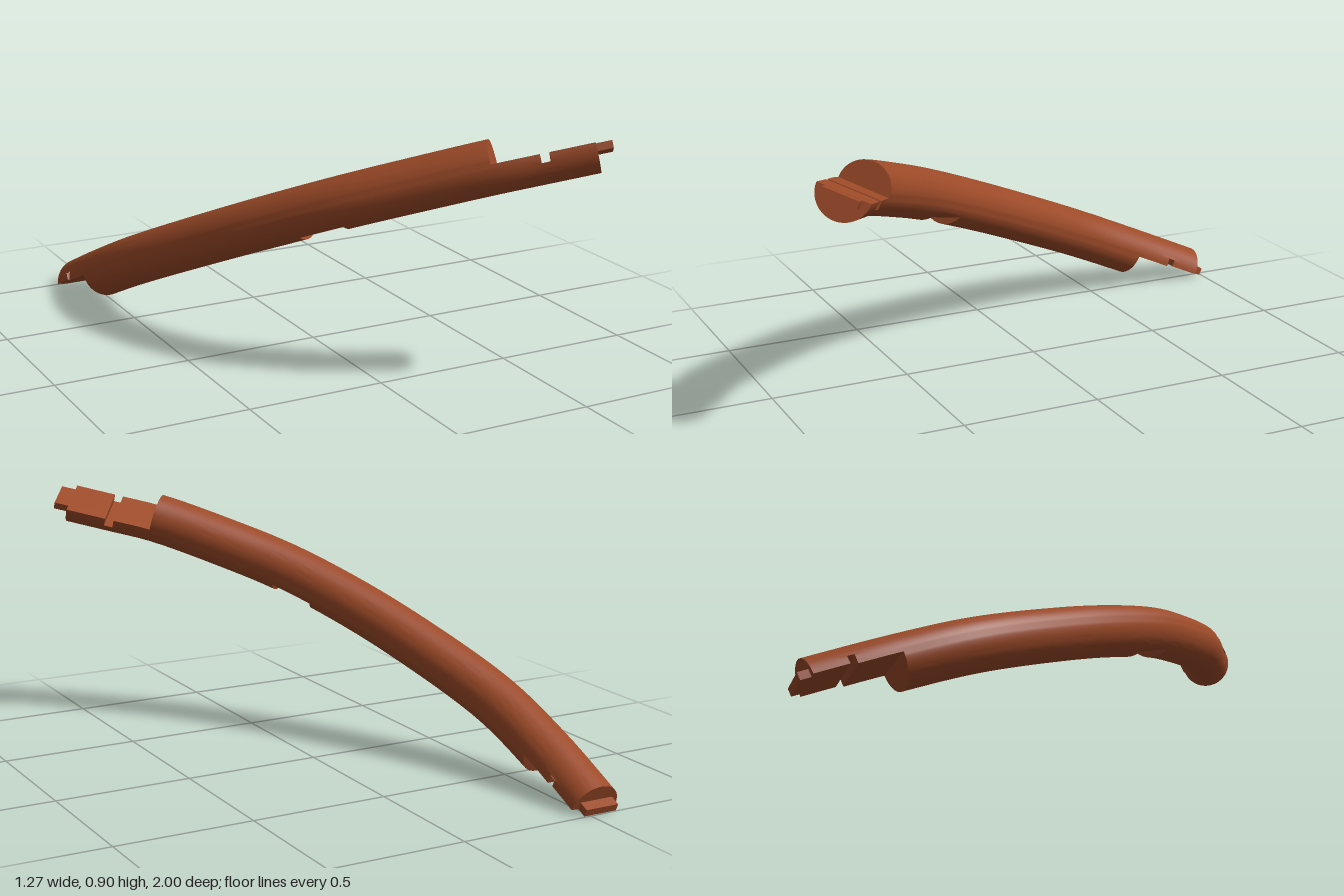
import * as THREE from 'three';
import { toCreasedNormals } from 'three/addons/utils/BufferGeometryUtils.js';

const R = 0.092;               // beam radius
const SIDES = 64;
const TILT = Math.atan(0.46);  // slope of the plane the beam curves in
const STRETCH = 1 / Math.cos(TILT);

// Centreline as plan positions [x, z], laid into the sloping plane
const PATH = [
  [-0.543, -1.02], [-0.543, -0.85], [-0.538, -0.69], [-0.502, -0.42], [-0.362, -0.06],
  [-0.235, 0.18], [-0.087, 0.395], [0.07, 0.56], [0.275, 0.745], [0.41, 0.828], [0.55, 0.912], [0.62, 0.954],
];
const curve = new THREE.CatmullRomCurve3(PATH.map(([x, z]) => new THREE.Vector3(x, 0, z * STRETCH)));

// Position, tangent and sideways direction where the centreline passes plan depth z
function frameAt(z) {
  let a = 0, b = 1;
  for (let i = 0; i < 40; i++) {
    const m = (a + b) / 2;
    if (curve.getPoint(m).z < z * STRETCH) a = m; else b = m;
  }
  const tangent = curve.getTangent(a).setY(0).normalize();
  return { centre: curve.getPoint(a), tangent, side: new THREE.Vector3(tangent.z, 0, -tangent.x) };
}

// One ring: a circle cut flat below lo, above hi and, inside the notch, along a slanted plane
function ring({ z, lo = -1, hi = 1, notch = false }) {
  const { centre, side } = frameAt(z);
  const dir = new THREE.Vector2(Math.cos(-1.2), Math.sin(-1.2));
  return Array.from({ length: SIDES }, (_, k) => {
    const a = (k / SIDES) * Math.PI * 2;
    const p = new THREE.Vector2(R * Math.cos(a), R * Math.sin(a));
    if (notch) p.addScaledVector(dir, -Math.max(0, p.dot(dir) - (R - 0.024)));
    p.y = Math.min(hi, Math.max(lo, p.y));
    return centre.clone().addScaledVector(side, p.x).setY(p.y);
  });
}

// Joins rings into a closed solid
function loft(rings) {
  const pos = [];
  const tri = (a, b, c) => {
    const area = b.clone().sub(a).cross(c.clone().sub(a)).length();
    if (area > 1e-9) for (const p of [a, b, c]) pos.push(p.x, p.y, p.z);
  };
  for (let i = 0; i < rings.length - 1; i++) {
    const A = rings[i], B = rings[i + 1];
    for (let k = 0; k < SIDES; k++) {
      const n = (k + 1) % SIDES;
      tri(A[k], A[n], B[n]);
      tri(A[k], B[n], B[k]);
    }
  }
  const first = rings[0], last = rings[rings.length - 1];
  for (let k = 1; k < SIDES - 1; k++) {
    tri(first[0], first[k + 1], first[k]);
    tri(last[0], last[k], last[k + 1]);
  }
  const geo = new THREE.BufferGeometry();
  geo.setAttribute('position', new THREE.Float32BufferAttribute(pos, 3));
  return toCreasedNormals(geo, 0.45);
}

// Stretches of the beam: half laps with key slots at both ends, a shallow notch midway
const STRETCHES = [
  { from: -0.957, to: -0.845, lo: 0.006, steps: 3 },
  { from: -0.845, to: -0.823, lo: 0.032, steps: 1 },
  { from: -0.823, to: -0.685, lo: 0, steps: 3 },
  { from: -0.685, to: 0.26, steps: 26 },
  { from: 0.26, to: 0.39, notch: true, steps: 5 },
  { from: 0.39, to: 0.745, steps: 10 },
  { from: 0.745, to: 0.822, hi: 0, steps: 3 },
  { from: 0.822, to: 0.838, hi: -0.03, steps: 1 },
  { from: 0.838, to: 0.913, hi: 0, steps: 3 },
];

export function createModel() {
  const wood = new THREE.MeshStandardMaterial({ color: 0x9c4a28 });
  wood.name = 'reddish brown wood';

  const model = new THREE.Group();
  model.name = 'curvedBeam';
  const plane = new THREE.Group();
  plane.name = 'slopedBeam';
  plane.rotation.x = -TILT;
  plane.position.y = 0.456;
  model.add(plane);

  const rings = [];
  for (const s of STRETCHES)
    for (let i = 0; i <= s.steps; i++) rings.push(ring({ ...s, z: s.from + ((s.to - s.from) * i) / s.steps }));
  const beam = new THREE.Mesh(loft(rings), wood);
  beam.name = 'beam';
  plane.add(beam);

  // Tongues that lock the scarf joints
  const addTongue = (name, z, width, height, length, y, along) => {
    const { centre, tangent } = frameAt(z);
    const tongue = new THREE.Mesh(new THREE.BoxGeometry(width, height, length), wood);
    tongue.name = name;
    tongue.position.copy(centre).addScaledVector(tangent, along).setY(y);
    tongue.rotation.y = Math.atan2(tangent.x, tangent.z);
    plane.add(tongue);
  };
  addTongue('lowerTongue', -0.957, 0.13, 0.028, 0.06, 0.02, -0.008);
  addTongue('upperTongue', 0.913, 0.125, 0.026, 0.08, -0.0135, 0.013);

  return model;
}
